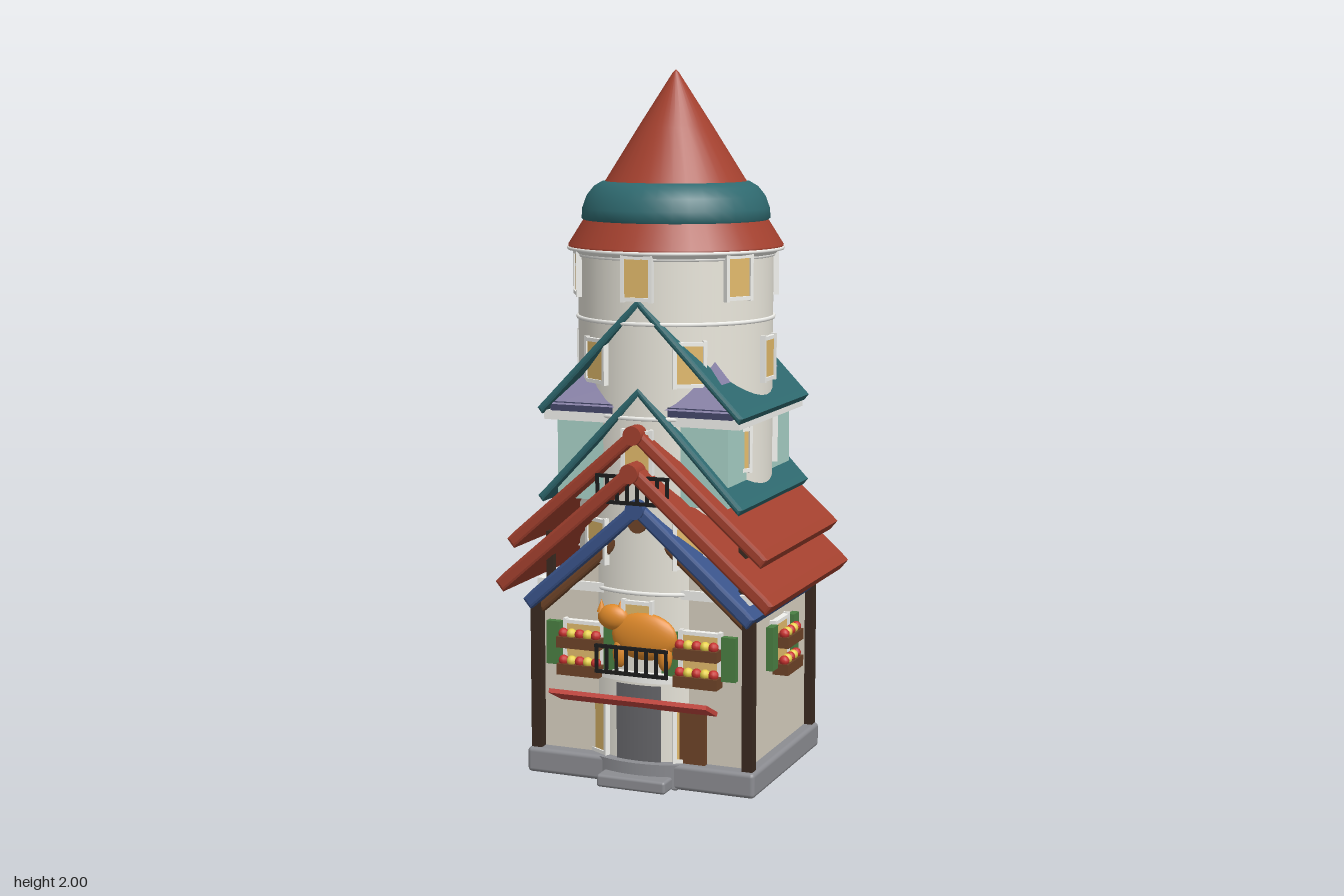
import * as THREE from 'three';
import { RoundedBoxGeometry } from 'three/addons/geometries/RoundedBoxGeometry.js';

const C = {
  red: 0xa5412f, teal: 0x2f6a70, blue: 0x3b558c, wood: 0x6e4428, dark: 0x3a2a20, wall: 0xd8d0c0,
  tower: 0xeae7dc, trim: 0xf2f2ee, amber: 0xe3bb6c, mint: 0xa9d3c8, purple: 0x8d86ad, navy: 0x45486b,
  stone: 0x8c8d92, door: 0x66666a, green: 0x4a8043, grass: 0x3c6b2c, orange: 0xe08a2a,
  black: 0x1c1c1c, berry: 0xc8322f, lemon: 0xe8d24a, awning: 0xc84840,
};
const mats = {};
const mat = (name, flat = false) => mats[name + flat] ??= new THREE.MeshStandardMaterial(
  { color: C[name], flatShading: flat, side: THREE.DoubleSide });

function add(parent, name, geo, color, x = 0, y = 0, z = 0, flat = false) {
  const m = new THREE.Mesh(geo, mat(color, flat));
  m.name = name;
  m.position.set(x, y, z);
  parent.add(m);
  return m;
}
const box = (w, h, d) => new THREE.BoxGeometry(w, h, d);
const cyl = (r0, r1, h, n = 48) => new THREE.CylinderGeometry(r0, r1, h, n);

// Prism along z from an outline in x, y
function prism(points, z0, z1, bevel = 0) {
  const shape = new THREE.Shape(points.map(p => new THREE.Vector2(...p)));
  const geo = new THREE.ExtrudeGeometry(shape, {
    depth: z1 - z0 - 2 * bevel, bevelEnabled: bevel > 0, bevelThickness: bevel,
    bevelSize: bevel, bevelOffset: -bevel, bevelSegments: 2,
  });
  return geo.translate(0, 0, z0 + bevel);
}

// Two-sided roof: outer apex height, eave half width and height, vertical thickness
function gableRoof(parent, name, color, apex, w, eave, t, z0, z1) {
  const k = t * 0.45;
  add(parent, name, prism([
    [0, apex], [-w + k, eave + k], [-w, eave], [-w + k, eave - t + k], [0, apex - t],
    [w - k, eave - t + k], [w, eave], [w - k, eave + k]], z0, z1, 0.008), color);
}

function windowUnit(w = 0.085, h = 0.11) {
  const g = new THREE.Group();
  g.name = 'window';
  add(g, 'pane', box(w, h, 0.014), 'amber');
  for (const s of [-1, 1]) {
    add(g, 'frameSide', box(0.01, h + 0.016, 0.024), 'trim', s * w / 2);
    add(g, 'frameRail', box(w, 0.01, 0.024), 'trim', 0, s * h / 2);
  }
  return g;
}

// Shuttered window with two rows of flowers, facing +z
function flowerWindow() {
  const g = new THREE.Group();
  g.name = 'flowerWindow';
  const pane = windowUnit(0.11, 0.12);
  pane.position.y = 0.46;
  g.add(pane);
  for (const s of [-1, 1]) add(g, 'shutter', box(0.04, 0.12, 0.02), 'green', s * 0.085, 0.46, 0.012);
  for (const y of [0.395, 0.47]) {
    add(g, 'planter', box(0.125, 0.03, 0.045), 'wood', 0, y, 0.028);
    for (let i = 0; i < 5; i++)
      add(g, 'flower', new THREE.SphereGeometry(0.014, 10, 8), i % 2 ? 'lemon' : 'berry',
        -0.048 + i * 0.024, y + 0.023, 0.034);
  }
  return g;
}

function railing(parent, y0, y1, z) {
  const g = new THREE.Group();
  g.name = 'railing';
  for (const y of [y0, y1]) add(g, 'rail', box(0.21, 0.009, 0.009), 'black', 0, y, z);
  for (let i = 0; i < 8; i++)
    add(g, 'baluster', box(0.008, y1 - y0, 0.008), 'black', -0.1 + i * 0.2 / 7, (y0 + y1) / 2, z);
  parent.add(g);
}

export function createModel() {
  const root = new THREE.Group();
  root.name = 'towerHouse';

  // Foundation, step and the rocky, grassy underside
  add(root, 'foundation', new RoundedBoxGeometry(0.665, 0.07, 0.54, 2, 0.012), 'stone', 0, 0.125, -0.005);
  add(root, 'roundFoundation', cyl(0.29, 0.29, 0.066), 'stone', 0, 0.125, -0.005);
  add(root, 'frontStep', new RoundedBoxGeometry(0.2, 0.035, 0.1, 2, 0.008), 'stone', 0, 0.108, 0.27);
  add(root, 'grassUnderside', cyl(0.22, 0.06, 0.07, 10), 'grass', 0, 0.06, 0, true);
  add(root, 'rockTip', cyl(0.13, 0.01, 0.088, 7), 'stone', 0, 0.044, 0, true);
  for (let i = 0; i < 4; i++) {
    const a = i * Math.PI / 2 + 0.4;
    add(root, 'rock', new THREE.IcosahedronGeometry(0.05), 'stone',
      0.13 * Math.cos(a), 0.072, 0.13 * Math.sin(a), true);
  }

  // House body, posts and beams
  add(root, 'houseWalls', prism([[-0.3, 0.15], [0.3, 0.15], [0.3, 0.55], [0, 0.82], [-0.3, 0.55]],
    -0.235, 0.225), 'wall');
  for (const x of [-0.308, 0.308]) for (const z of [-0.25, 0.238])
    add(root, 'cornerPost', box(0.03, 0.43, 0.03), 'dark', x, 0.37, z);
  add(root, 'upperSill', box(0.62, 0.025, 0.48), 'trim', 0, 0.62, -0.005);
  for (const x of [-0.28, 0.28]) for (const z of [-0.22, 0.21])
    add(root, 'upperPost', box(0.02, 0.14, 0.02), 'dark', x, 0.69, z);

  // Stacked gable roofs
  gableRoof(root, 'gableRafters', 'wood', 0.83, 0.305, 0.56, 0.035, -0.26, 0.25);
  gableRoof(root, 'blueRoof', 'blue', 0.875, 0.335, 0.58, 0.05, -0.285, 0.28);
  gableRoof(root, 'lowerRedRoof', 'red', 0.98, 0.4, 0.63, 0.05, -0.325, 0.315);
  gableRoof(root, 'upperRedRoof', 'red', 1.075, 0.375, 0.745, 0.045, -0.3, 0.292);
  gableRoof(root, 'lowerTealRoof', 'teal', 1.175, 0.295, 0.865, 0.03, -0.275, 0.262);
  gableRoof(root, 'upperTealRoof', 'teal', 1.41, 0.295, 1.105, 0.03, -0.275, 0.262);
  for (const [y, z0, z1, c] of [[0.81, -0.275, 0.27, 'wood'], [0.85, -0.295, 0.29, 'blue'],
    [0.952, -0.335, 0.325, 'red'], [1.05, -0.31, 0.302, 'red']])
    add(root, 'ridgeBeam', cyl(0.026, 0.026, z1 - z0, 16).rotateX(Math.PI / 2), c, 0, y, (z0 + z1) / 2);

  // Mint storey with ledge and the purple hipped skirt above it
  add(root, 'mintStorey', box(0.49, 0.22, 0.48), 'mint', 0, 0.97, -0.005);
  add(root, 'mintLedge', box(0.56, 0.025, 0.5), 'trim', 0, 1.085, -0.005);
  add(root, 'skirtTrim', box(0.52, 0.025, 0.505), 'navy', 0, 1.11, -0.005);
  const q = Math.SQRT2;
  add(root, 'purpleSkirt', new THREE.CylinderGeometry(0.18 * q, 0.255 * q, 0.14, 4)
    .rotateY(Math.PI / 4), 'purple', 0, 1.185, -0.005, true);

  // Round tower with bands and alternating window rows
  add(root, 'tower', cyl(0.265, 0.265, 1.37), 'tower', 0, 0.835, -0.005);
  for (const y of [0.4, 0.62, 0.86, 1.09, 1.34, 1.51])
    add(root, 'towerBand', new THREE.TorusGeometry(0.266, 0.006, 6, 48).rotateX(Math.PI / 2), 'trim', 0, y, -0.005);
  [1.46, 1.235, 1.0, 0.75, 0.54, 0.24].forEach((y, row) => {
    for (let i = 0; i < 6; i++) {
      const a = (i + (row % 2) / 2) * Math.PI / 3;
      const w = windowUnit(0.08, row === 5 ? 0.15 : 0.11);
      w.position.set(0.264 * Math.sin(a), y, 0.264 * Math.cos(a) - 0.005);
      w.rotation.y = a;
      root.add(w);
    }
  });

  // Conical roof: red flare, teal cushion, red spire
  const lathe = pts => new THREE.LatheGeometry(pts.map(p => new THREE.Vector2(...p)), 36);
  add(root, 'roofFlare', lathe([[0.24, 1.52], [0.292, 1.525], [0.292, 1.535], [0.245, 1.61]]), 'red', 0, 0, -0.005);
  add(root, 'roofSoffit', cyl(0.285, 0.27, 0.015), 'trim', 0, 1.518, -0.005);
  add(root, 'roofRim', new THREE.TorusGeometry(0.291, 0.005, 6, 48).rotateX(Math.PI / 2), 'trim', 0, 1.526, -0.005);
  add(root, 'tealCushion', lathe([[0.242, 1.595], [0.256, 1.605], [0.254, 1.632], [0.242, 1.665],
    [0.222, 1.69], [0.2, 1.703], [0.18, 1.705]]), 'teal', 0, 0, -0.005);
  add(root, 'spire', lathe([[0.197, 1.695], [0.1, 1.85], [0.008, 1.993], [0, 2]]), 'red', 0, 0, -0.005);

  // Flower windows on every side of the house
  for (const [x, z, a] of [[-0.17, 0.232, 0], [0.17, 0.232, 0], [-0.17, -0.242, Math.PI],
    [0.17, -0.242, Math.PI], [0.305, 0, Math.PI / 2], [-0.305, 0, -Math.PI / 2]]) {
    const f = flowerWindow();
    f.position.set(x, 0, z);
    f.rotation.y = a;
    root.add(f);
  }

  // Curved doors and balcony ledges, front and back
  for (const a of [0, Math.PI]) {
    add(root, 'door', new THREE.CylinderGeometry(0.272, 0.272, 0.21, 12, 1, true, a - 0.24, 0.48),
      'door', 0, 0.265, -0.005);
    add(root, 'balconyLedge', new THREE.CylinderGeometry(0.285, 0.285, 0.02, 24, 1, false, a - 0.45, 0.9),
      'trim', 0, 0.39, -0.005);
  }
  add(root, 'sideDoor', box(0.08, 0.16, 0.015), 'wood', 0.145, 0.24, 0.236);

  // Front awning and railings
  add(root, 'awning', box(0.455, 0.012, 0.09), 'awning', -0.002, 0.33, 0.297).rotation.x = -0.45;
  railing(root, 0.41, 0.48, 0.31);
  railing(root, 0.87, 0.94, 0.3);

  // Orange animal figure resting on the balcony
  const pet = new THREE.Group();
  pet.name = 'animalFigure';
  const ball = (name, x, y, z, sx, sy, sz) =>
    add(pet, name, new THREE.SphereGeometry(1, 20, 14), 'orange', x, y, z).scale.set(sx, sy, sz);
  ball('body', 0.02, 0.505, 0.265, 0.095, 0.065, 0.028);
  ball('head', -0.07, 0.55, 0.265, 0.045, 0.035, 0.025);
  for (const x of [-0.105, -0.05])
    add(pet, 'ear', new THREE.ConeGeometry(0.014, 0.035, 8), 'orange', x, 0.58, 0.265);
  ball('leg', -0.05, 0.455, 0.268, 0.02, 0.04, 0.02);
  ball('leg', 0.08, 0.455, 0.268, 0.02, 0.04, 0.02);
  root.add(pet);

  return root;
}
